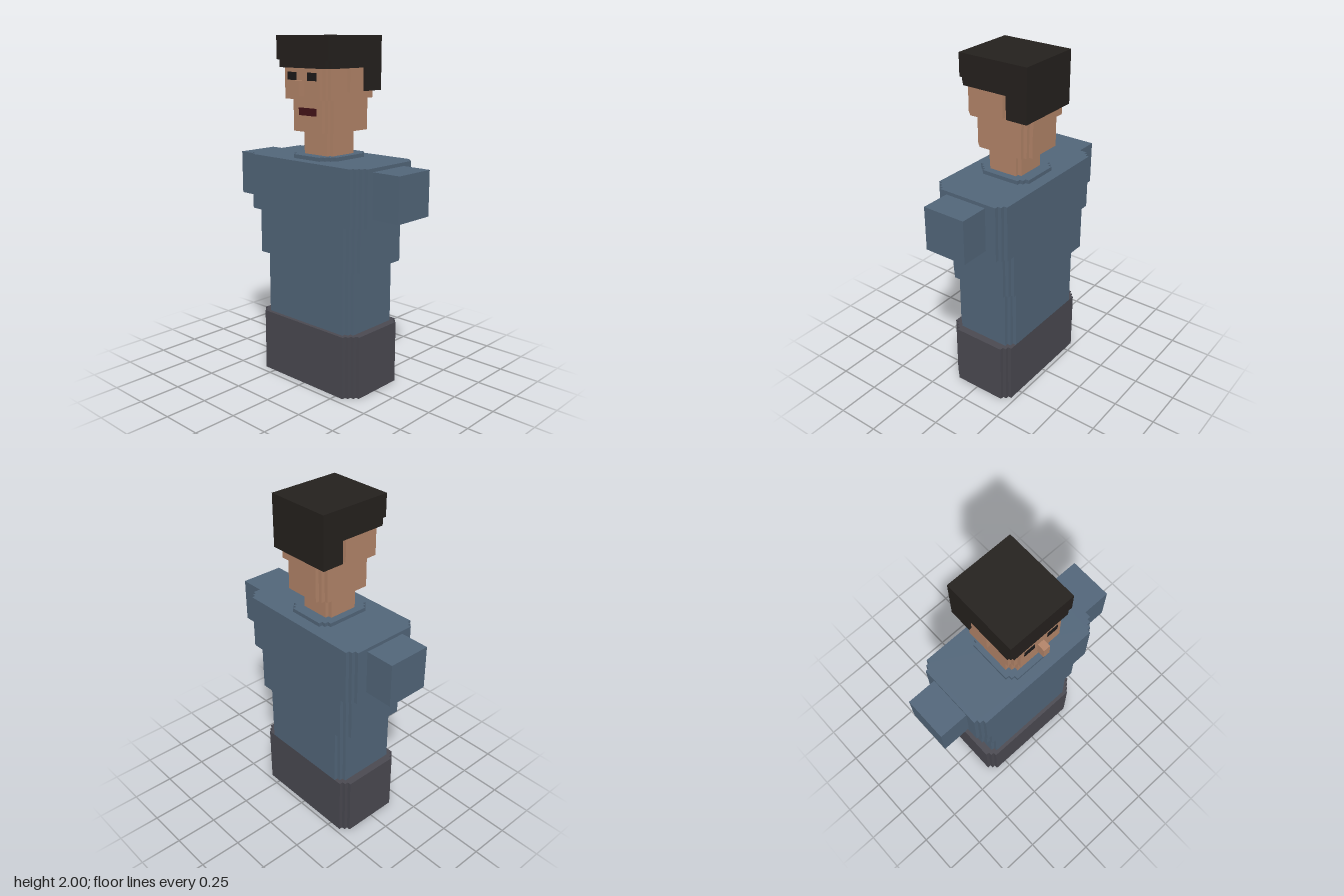
import * as THREE from 'three';

const U = 0.0217; // size of one corner step

const material = (color) => new THREE.MeshStandardMaterial({ color, flatShading: true });
const shirt = material(0x53677b);
const trousers = material(0x4b4a52);
const skin = material(0xb5866a);
const hair = material(0x25211e);
const dark = material(0x1c1a1a);
const lips = material(0x451419);

// Block given by its extents [min, max] on each axis
function block(name, mat, [x0, x1], [y0, y1], [z0, z1]) {
  const mesh = new THREE.Mesh(new THREE.BoxGeometry(x1 - x0, y1 - y0, z1 - z0), mat);
  mesh.position.set((x0 + x1) / 2, (y0 + y1) / 2, (z0 + z1) / 2);
  mesh.name = name;
  return mesh;
}

// Block whose vertical corners are cut as staircases.
// steps: count at back left, back right, front right, front left as seen from the front
function steppedBlock(name, mat, [x0, x1], [y0, y1], [z0, z1], steps) {
  const corners = [[x0, z0, 1, 1], [x1, z0, -1, 1], [x1, z1, -1, -1], [x0, z1, 1, -1]];
  const points = [];
  corners.forEach(([x, z, sx, sz], c) => {
    const n = steps[c];
    const stair = [];
    // staircase from the x side to the z side of this corner
    for (let i = 0; i <= n; i++) {
      stair.push([x + sx * i * U, z + sz * (n - i) * U]);
      if (i < n) stair.push([x + sx * (i + 1) * U, z + sz * (n - i) * U]);
    }
    if (c % 2) stair.reverse();
    points.push(...stair.map(([px, pz]) => new THREE.Vector2(px, -pz)));
  });
  const geometry = new THREE.ExtrudeGeometry(new THREE.Shape(points), { depth: y1 - y0, bevelEnabled: false });
  geometry.rotateX(-Math.PI / 2);
  const mesh = new THREE.Mesh(geometry, mat);
  mesh.position.y = y0;
  mesh.name = name;
  return mesh;
}

export function createModel() {
  const model = new THREE.Group();
  model.name = 'bust';

  // Body, bottom to top
  model.add(
    steppedBlock('hips', trousers, [-0.37, 0.37], [0, 0.37], [-0.225, 0.207], [2, 2, 3, 2]),
    steppedBlock('waist', shirt, [-0.325, 0.325], [0.37, 0.74], [-0.225, 0.185], [2, 2, 2, 1]),
    steppedBlock('lowerChest', shirt, [-0.39, 0.37], [0.74, 1.003], [-0.246, 0.207], [2, 2, 3, 2]),
    steppedBlock('shoulders', shirt, [-0.434, 0.434], [1.003, 1.325], [-0.25, 0.227], [2, 2, 3, 2]),
    steppedBlock('collar', shirt, [-0.152, 0.152], [1.325, 1.347], [-0.182, 0.163], [2, 2, 3, 2]),
    steppedBlock('neck', skin, [-0.109, 0.109], [1.347, 1.48], [-0.117, 0.1], [1, 1, 1, 1])
  );

  // Head
  model.add(
    steppedBlock('jaw', skin, [-0.152, 0.152], [1.48, 1.66], [-0.204, 0.163], [2, 2, 2, 2]),
    steppedBlock('face', skin, [-0.174, 0.174], [1.66, 1.83], [-0.223, 0.205], [2, 2, 2, 2]),
    block('nose', skin, [-0.02, 0.02], [1.68, 1.763], [0.2, 0.25]),
    block('mouth', lips, [-0.066, 0.066], [1.57, 1.612], [0.14, 0.166])
  );

  // Hair: cap, stepped fringe band and the part down the back
  model.add(
    block('hairCap', hair, [-0.196, 0.196], [1.87, 2], [-0.226, 0.206]),
    steppedBlock('hairFringe', hair, [-0.196, 0.196], [1.828, 1.87], [-0.226, 0.206], [0, 0, 1, 1]),
    block('hairBack', hair, [-0.196, 0.196], [1.7, 1.828], [-0.226, -0.096])
  );

  // Mirrored parts
  for (const [side, s] of [['left', 1], ['right', -1]]) {
    const span = (a, b) => (s > 0 ? [a, b] : [-b, -a]);
    model.add(
      block(side + 'Arm', shirt, span(0.41, 0.608), [1.05, 1.305], [-0.14, 0.12]),
      block(side + 'Ear', skin, span(0.16, 0.195), [1.7, 1.83], [-0.075, 0.034]),
      block(side + 'Eye', dark, span(0.042, 0.108), [1.763, 1.806], [0.18, 0.208])
    );
  }
  return model;
}
